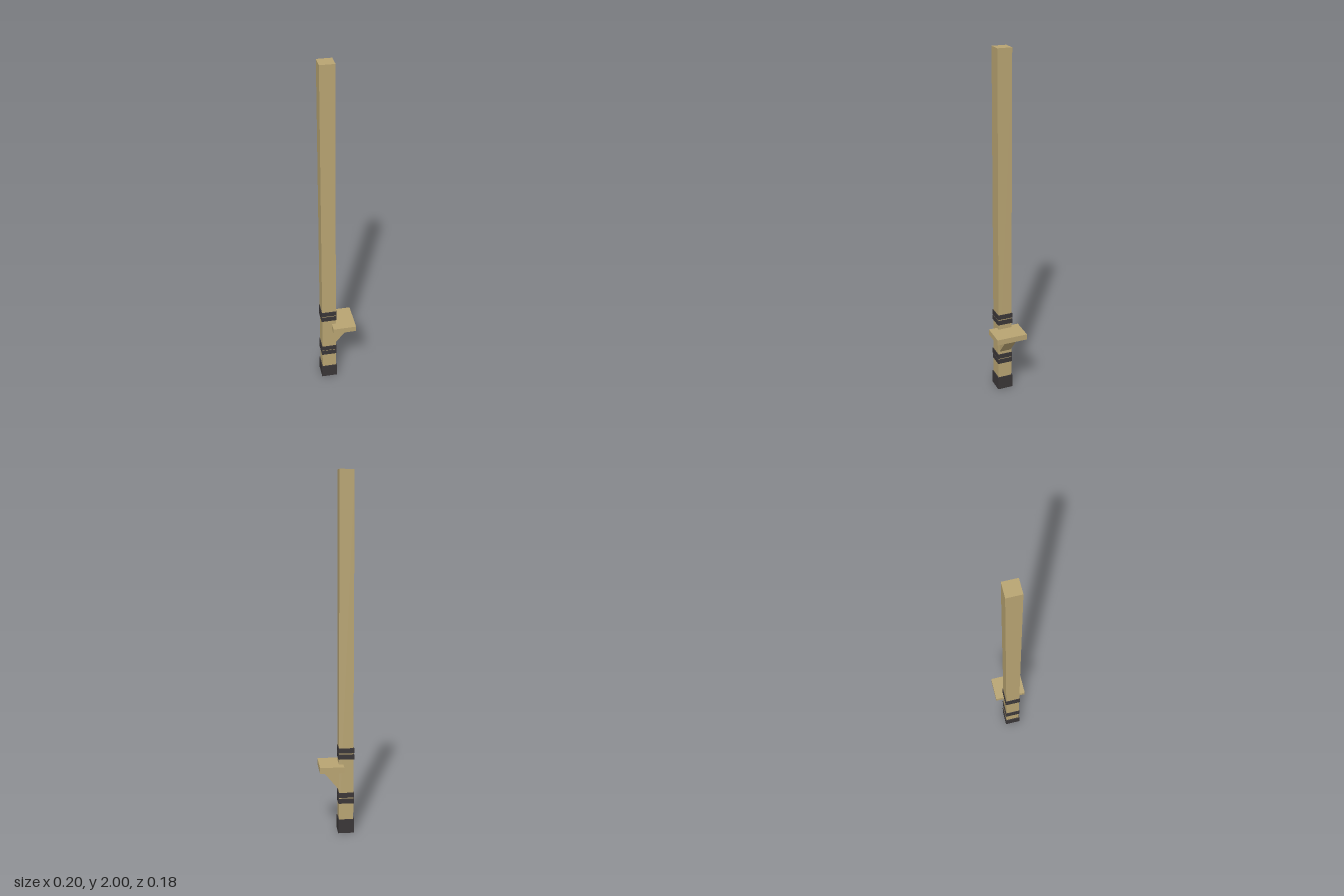
import * as THREE from 'three';

export function createModel() {
  const model = new THREE.Group();
  const wood = new THREE.MeshStandardMaterial({ color: 0xb8a472 });
  wood.name = 'wood';
  const rubber = new THREE.MeshStandardMaterial({ color: 0x3a3637 });
  rubber.name = 'dark rubber';
  const poleX = -0.0535;

  function add(name, geometry, material, x, y, z = 0) {
    const mesh = new THREE.Mesh(geometry, material);
    mesh.name = name;
    mesh.position.set(x, y, z);
    model.add(mesh);
  }

  // Square pole, its base inside the end cap
  add('pole', new THREE.BoxGeometry(0.08, 1.99, 0.08), wood, poleX, 1.005);
  add('endCap', new THREE.BoxGeometry(0.09, 0.08, 0.09), rubber, poleX, 0.04);

  // Two pairs of straps
  for (const y of [0.188, 0.222, 0.445, 0.48]) {
    add('strap', new THREE.BoxGeometry(0.088, 0.028, 0.088), rubber, poleX, y);
  }

  // Foot rest let into the pole
  add('footPlate', new THREE.BoxGeometry(0.134, 0.033, 0.18), wood, 0.03, 0.385);

  // Wedge bracket below the foot rest
  const wedge = new THREE.Shape();
  wedge.moveTo(-0.025, 0.25);
  wedge.lineTo(-0.016, 0.25);
  wedge.lineTo(0.083, 0.37);
  wedge.lineTo(-0.025, 0.37);
  wedge.closePath();
  add('bracket', new THREE.ExtrudeGeometry(wedge, { depth: 0.07, bevelEnabled: false }),
    wood, 0, 0, -0.035);

  return model;
}
